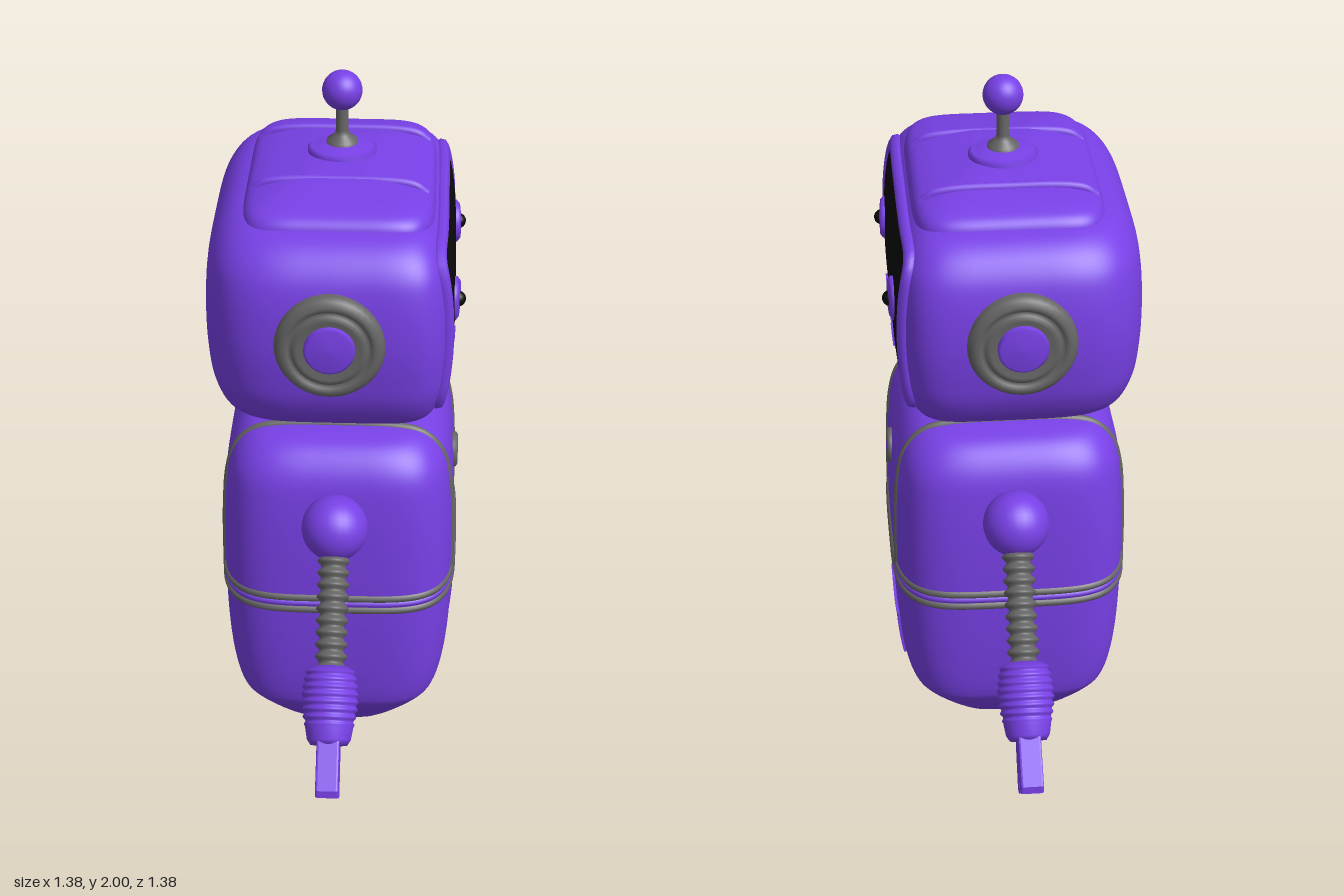
import * as THREE from 'three';

const mat = (c) => new THREE.MeshStandardMaterial({ color: c });
const V = (x, y, z) => new THREE.Vector3(x, y, z);

// Rounded-box body: rows are [y, halfWidth, halfDepth], outline is a superellipse
function makeForm(rows, nFront, nBack, backScale) {
  const pts = new THREE.CatmullRomCurve3(rows.map(([y, a, b]) => V(a, y, b))).getPoints(70);
  const size = (y) => {
    let i = 0;
    while (i < pts.length - 2 && pts[i + 1].y < y) i++;
    const t = THREE.MathUtils.clamp((y - pts[i].y) / (pts[i + 1].y - pts[i].y || 1), 0, 1);
    return pts[i].clone().lerp(pts[i + 1], t);
  };
  const ringPoint = (p, t) => {
    const c = Math.cos(t), s = Math.sin(t), n = s >= 0 ? nFront : nBack;
    return V(Math.sign(c) * p.x * Math.abs(c) ** (2 / n), p.y,
      Math.sign(s) * p.z * Math.abs(s) ** (2 / n) * (s < 0 ? backScale : 1));
  };
  const frontZ = (x, y) => {
    const p = size(y), u = Math.min(1, Math.abs(x) / p.x);
    return p.z * (1 - u ** nFront) ** (1 / nFront);
  };
  // Bends a flat part onto the front of the form
  const bend = (geo, off) => {
    const p = geo.attributes.position;
    for (let i = 0; i < p.count; i++) p.setZ(i, p.getZ(i) + off + frontZ(p.getX(i), p.getY(i)));
    geo.computeVertexNormals();
    return geo;
  };
  const geometry = () => {
    const N = 96, pos = [], idx = [];
    pts.forEach((p, j) => {
      for (let i = 0; i < N; i++) {
        pos.push(...ringPoint(p, (i / N) * Math.PI * 2).toArray());
        if (!j) continue;
        const a = (j - 1) * N + i, b = (j - 1) * N + (i + 1) % N;
        idx.push(a, a + N, b, b, a + N, b + N);
      }
    });
    const g = new THREE.BufferGeometry();
    g.setAttribute('position', new THREE.Float32BufferAttribute(pos, 3));
    g.setIndex(idx);
    g.computeVertexNormals();
    return g;
  };
  const outline = (y) => Array.from({ length: 96 }, (_, i) => ringPoint(size(y), (i / 96) * Math.PI * 2));
  return { geometry, frontZ, bend, outline };
}

const tube = (pts, r, closed = false, seg = 100) =>
  new THREE.TubeGeometry(new THREE.CatmullRomCurve3(pts, closed), seg, r, 8, closed);
const lathe = (pts, seg = 40) => new THREE.LatheGeometry(pts.map(([r, y]) => new THREE.Vector2(r, y)), seg);

export function createModel() {
  const purple = mat(0x7840e6), grey = mat(0x666666), black = mat(0x0a0a0a);
  const robot = new THREE.Group();
  robot.name = 'robot';
  const add = (name, geo, m, parent = robot) => {
    const mesh = new THREE.Mesh(geo, m);
    mesh.name = name;
    parent.add(mesh);
    return mesh;
  };

  // Torso with wedge-shaped underside
  const torso = makeForm([[0, 0, 0], [0.004, 0.08, 0.05], [0.05, 0.24, 0.13], [0.19, 0.372, 0.278], [0.22, 0.385, 0.295],
    [0.32, 0.4, 0.316], [0.56, 0.411, 0.33], [0.85, 0.404, 0.325], [0.96, 0.385, 0.308],
    [1.025, 0.335, 0.265], [1.052, 0.25, 0.195], [1.065, 0, 0]], 4.5, 4.5, 1);
  add('torso', torso.geometry(), purple);
  const belt = (y, inset) => torso.outline(y).map((p) => p.multiply(V(1 - inset, 1, 1 - inset)));
  for (const y of [0.547, 0.586]) add('belt', tube(belt(y, 0.015), 0.013, true, 192), grey);
  add('beltStripe', tube(belt(0.567, 0.015), 0.011, true, 192), purple);

  // Seams running up the front, over the shoulder and down the back
  for (const x of [-0.23, 0.23]) {
    const up = [0.59, 0.7, 0.8, 0.9, 0.97, 1.01, 1.035, 1.05].map((y) => V(x, y - 0.004, torso.frontZ(x, y) - 0.006));
    const down = up.map((p) => V(p.x, p.y, -p.z)).reverse();
    add('seam', tube([...up, ...down], 0.013), grey);
  }

  // Chest button and pocket panel
  const button = new THREE.Group();
  button.name = 'chestButton';
  button.position.set(0, 0.845, 0.325);
  robot.add(button);
  add('buttonRing', new THREE.TorusGeometry(0.04, 0.013, 10, 32), grey, button);
  add('buttonCap', new THREE.SphereGeometry(0.035, 24, 12).scale(1, 1, 0.4), purple, button);
  const slab = (name, x, y, w, h, d, m) =>
    add(name, torso.bend(new THREE.BoxGeometry(w, h, d, 10, 6, 1).translate(x, y, 0), 0), m);
  slab('pocketPanel', 0.09, 0.333, 0.236, 0.124, 0.01, grey);
  for (const s of [-1, 1]) {
    slab('pocketRim', 0.09, 0.333 + s * 0.066, 0.256, 0.009, 0.016, purple);
    slab('pocketRim', 0.09 + s * 0.123, 0.333, 0.01, 0.124, 0.016, purple);
  }

  // Neck
  add('neck', lathe([[0.13, 1.03], [0.16, 1.07], [0.16, 1.08], [0.142, 1.086], [0.142, 1.092], [0.16, 1.098],
    [0.16, 1.108], [0.13, 1.14]]), grey);

  // Head and raised crown
  const head = makeForm([[1.105, 0, 0], [1.113, 0.2, 0.13], [1.14, 0.36, 0.235], [1.175, 0.44, 0.278], [1.25, 0.487, 0.302],
    [1.33, 0.504, 0.311], [1.43, 0.511, 0.314], [1.55, 0.501, 0.309], [1.62, 0.48, 0.297],
    [1.675, 0.435, 0.268], [1.707, 0.36, 0.222], [1.717, 0, 0]], 6, 4.2, 1.155);
  add('head', head.geometry(), purple);
  const crown = makeForm([[1.66, 0.372, 0.262], [1.705, 0.366, 0.256], [1.725, 0.352, 0.243], [1.742, 0.315, 0.21],
    [1.76, 0.21, 0.14], [1.772, 0.1, 0.07], [1.775, 0, 0]], 6, 6, 1);
  add('crown', crown.geometry(), purple);
  for (const x of [-0.15, 0.21]) {
    add('crownRidge', tube([V(x, 1.722, -0.235), V(x, 1.747, -0.2), V(x, 1.758, 0), V(x, 1.747, 0.2), V(x, 1.722, 0.235)], 0.013), purple);
  }

  // Face: screen with rounded corners, raised surround, pixel mouth
  const screen = new THREE.PlaneGeometry(0.8, 0.45, 32, 20);
  const sp = screen.attributes.position;
  for (let i = 0; i < sp.count; i++) {
    const k = 1 - 0.06 * (Math.abs(sp.getX(i)) / 0.4 * Math.abs(sp.getY(i)) / 0.225) ** 6;
    sp.setXY(i, sp.getX(i) * k, sp.getY(i) * k + 1.425);
  }
  add('screen', head.bend(screen, 0.005), black);
  const frame = Array.from({ length: 96 }, (_, i) => {
    const t = (i / 96) * Math.PI * 2, c = Math.cos(t), s = Math.sin(t);
    const r = (Math.abs(c) ** 8 + Math.abs(s) ** 8) ** (-1 / 8);
    const x = 0.41 * c * r, y = 1.425 + 0.234 * s * r;
    return V(x, y, head.frontZ(x, y) - 0.002);
  });
  add('screenFrame', tube(frame, 0.02, true, 192), purple);
  const pixel = (x, y, w, h) =>
    add('mouth', head.bend(new THREE.BoxGeometry(w, h, 0.01, 6, 1, 1).translate(x, y, 0), 0.006), purple);
  pixel(0, 1.253, 0.25, 0.036);
  for (const s of [-1, 1]) {
    pixel(s * 0.152, 1.293, 0.056, 0.04);
    const eye = new THREE.Group();
    eye.name = s > 0 ? 'leftEye' : 'rightEye';
    eye.position.set(s * 0.25, 1.46, head.frontZ(0.25, 1.46) + 0.004);
    eye.rotation.y = s * 0.08;
    robot.add(eye);
    add('iris', lathe([[0.06, -0.02], [0.06, 0.004], [0.05, 0.012], [0, 0.016]]).rotateX(Math.PI / 2), purple, eye);
    add('pupil', new THREE.SphereGeometry(0.022, 20, 14).translate(0, 0, 0.008), black, eye);

    // Ear pads
    const ear = new THREE.Group();
    ear.name = s > 0 ? 'leftEar' : 'rightEar';
    ear.position.set(s * 0.488, 1.44, -0.01);
    ear.rotation.z = -s * Math.PI / 2;
    robot.add(ear);
    add('earPad', lathe([[0.147, -0.05], [0.147, 0.022], [0.14, 0.038], [0.125, 0.048], [0.112, 0.044], [0.106, 0.036],
      [0.1, 0.044], [0.085, 0.05], [0.07, 0.04], [0, 0.04]]), grey, ear);
    add('earCap', lathe([[0.068, 0.02], [0.068, 0.046], [0.06, 0.053], [0, 0.057]]), purple, ear);
  }

  // Antenna
  const antenna = new THREE.Group();
  antenna.name = 'antenna';
  antenna.position.x = 0.028;
  robot.add(antenna);
  add('antennaBase', lathe([[0.095, 1.74], [0.095, 1.777], [0.085, 1.787], [0.072, 1.779], [0.06, 1.794], [0, 1.794]]), purple, antenna);
  add('antennaStem', lathe([[0.045, 1.785], [0.042, 1.802], [0.022, 1.817], [0.017, 1.83], [0.017, 1.91]], 24), grey, antenna);
  add('antennaBall', new THREE.SphereGeometry(0.055, 32, 20).translate(0, 1.945, 0), purple, antenna);

  // Arms hang along -y of a tilted group
  const hose = [], cuff = [[0, -0.6], [0.05, -0.595], [0.06, -0.58], [0.066, -0.545]];
  for (let i = 0; i <= 88; i++) hose.push([0.039 + 0.006 * Math.cos((i / 8) * Math.PI * 2), -0.42 + (i / 88) * 0.36]);
  for (let i = 0; i <= 48; i++) {
    const t = i / 48;
    cuff.push([0.066 + 0.01 * Math.sin(t * Math.PI) + 0.003 * Math.cos(t * 7 * Math.PI * 2), -0.54 + t * 0.145]);
  }
  cuff.push([0.045, -0.38], [0, -0.38]);
  for (const s of [-1, 1]) {
    const arm = new THREE.Group();
    arm.name = s > 0 ? 'leftArm' : 'rightArm';
    arm.position.set(s * 0.448, 0.845, 0);
    arm.rotation.z = s * 0.67;
    robot.add(arm);
    add('shoulder', new THREE.SphereGeometry(0.092, 32, 20), purple, arm);
    add('hose', lathe(hose, 24), grey, arm);
    add('cuff', lathe(cuff, 32), purple, arm);
    // Two-pronged hand
    const claw = new THREE.Shape().moveTo(-0.045, 0).lineTo(-0.058, -0.155).lineTo(-0.048, -0.17).lineTo(-0.022, -0.17)
      .lineTo(-0.012, -0.1).lineTo(0.012, -0.1).lineTo(0.022, -0.17).lineTo(0.048, -0.17).lineTo(0.058, -0.155).lineTo(0.045, 0);
    add('hand', new THREE.ExtrudeGeometry(claw, { depth: 0.05, bevelSize: 0.004, bevelThickness: 0.006, bevelSegments: 2 })
      .translate(0, -0.563, -0.025), purple, arm);
  }

  // The figure stands turned an eighth of a circle
  robot.rotation.y = Math.PI / 4;
  const model = new THREE.Group();
  model.add(robot);
  return model;
}
